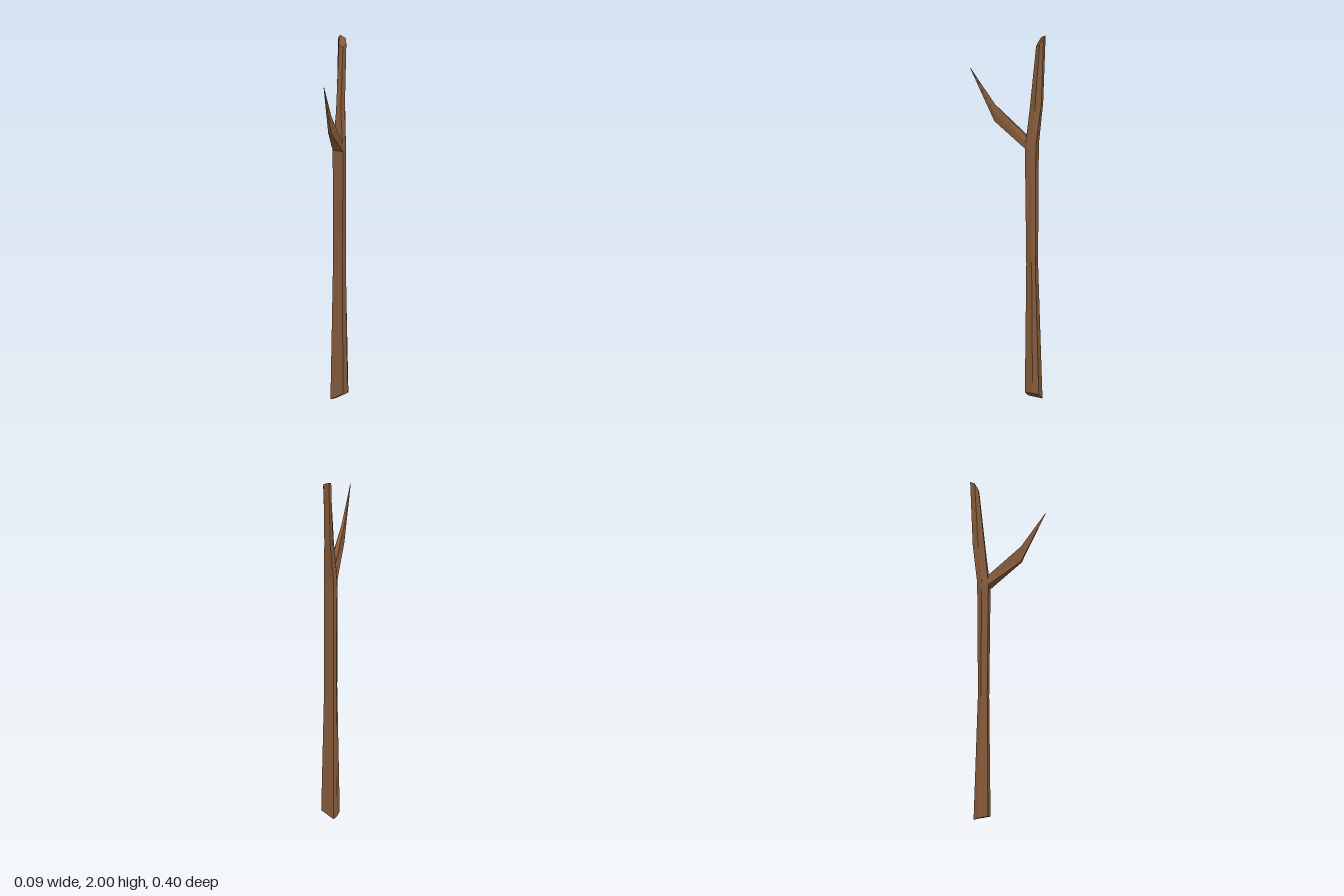
import * as THREE from 'three';

const bark = new THREE.MeshStandardMaterial({ color: 0x865b3a, flatShading: true });
bark.name = 'bark';

// Skins a list of rings (equal point counts) and closes both ends
function loft(name, rings) {
  const pos = [];
  const tri = (...pts) => pts.forEach((p) => pos.push(...p));
  const n = rings[0].length;
  for (let r = 0; r < rings.length - 1; r++) {
    const a = rings[r], b = rings[r + 1];
    for (let i = 0; i < n; i++) {
      const j = (i + 1) % n;
      tri(a[i], a[j], b[j]);
      tri(a[i], b[j], b[i]);
    }
  }
  const first = rings[0], last = rings[rings.length - 1];
  for (let i = 1; i < n - 1; i++) {
    tri(first[0], first[i + 1], first[i]);
    tri(last[0], last[i], last[i + 1]);
  }
  const geo = new THREE.BufferGeometry();
  geo.setAttribute('position', new THREE.Float32BufferAttribute(pos, 3));
  geo.computeVertexNormals();
  const mesh = new THREE.Mesh(geo, bark);
  mesh.name = name;
  return mesh;
}

export function createModel() {
  const group = new THREE.Group();
  group.name = 'forkedStick';

  // Rings run front left, front right, right, back right, back left, left
  const fork = [
    [-0.025, 1.385, -0.1], [0.034, 1.385, -0.1], [0.037, 1.4, -0.135],
    [0.028, 1.4, -0.159], [-0.03, 1.4, -0.16], [-0.037, 1.4, -0.135],
  ];

  // Trunk with a slanted cut at the foot and a slight waist
  group.add(loft('trunk', [
    [[-0.038, 0.012, -0.1], [0.034, 0.045, -0.1], [0.044, 0.045, -0.145],
      [0.035, 0.038, -0.177], [-0.038, 0, -0.178], [-0.045, 0.005, -0.15]],
    [[-0.026, 0.75, -0.106], [0.028, 0.75, -0.106], [0.036, 0.75, -0.138],
      [0.028, 0.75, -0.156], [-0.028, 0.75, -0.156], [-0.036, 0.75, -0.138]],
    fork,
  ]));

  // Main upper branch, leaning back, with a slanted tip
  group.add(loft('upperBranch', [
    fork,
    [[-0.014, 1.6, -0.121], [0.013, 1.6, -0.121], [0.024, 1.6, -0.152],
      [0.013, 1.63, -0.185], [-0.022, 1.63, -0.186], [-0.024, 1.6, -0.155]],
    [[-0.012, 1.955, -0.156], [0.012, 1.945, -0.156], [0.023, 1.96, -0.178],
      [0.012, 1.985, -0.197], [-0.021, 2, -0.2], [-0.023, 1.99, -0.175]],
  ]));

  // Pointed side branch, reaching forward and bent upward
  group.add(loft('sideBranch', [
    [[-0.025, 1.385, -0.1], [0.034, 1.385, -0.1], [0.034, 1.42, -0.104],
      [0.02, 1.445, -0.108], [-0.01, 1.445, -0.108]],
    [[0.015, 1.525, 0.07], [0.031, 1.525, 0.07], [0.036, 1.57, 0.068],
      [0.032, 1.62, 0.068], [0.018, 1.615, 0.07]],
    [[0.039, 1.808, 0.2], [0.041, 1.808, 0.2], [0.042, 1.809, 0.199],
      [0.041, 1.81, 0.199], [0.039, 1.81, 0.199]],
  ]));

  return group;
}
